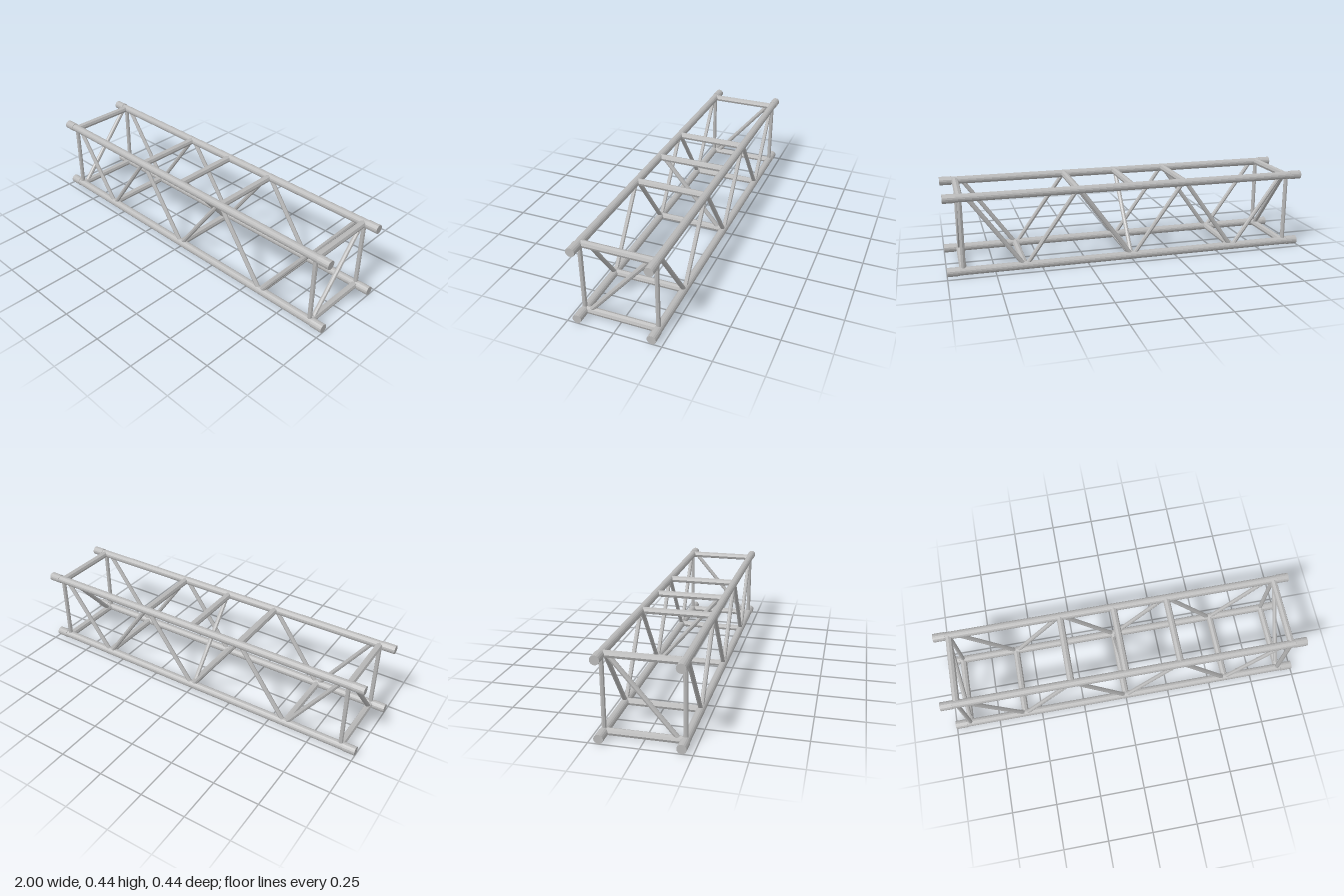
import * as THREE from 'three';

const LOW = 0.024, HIGH = 0.417, SIDE = 0.197; // chord centre lines
const END = 0.915;                             // end frame position

export function createModel() {
  const truss = new THREE.Group();
  truss.name = 'boxTruss';
  const metal = new THREE.MeshStandardMaterial({ color: 0xb9b9b9 });
  metal.name = 'light grey metal';
  metal.flatShading = true;

  // Straight tube between two points
  function bar(name, from, to, radius, sides = 8) {
    const a = new THREE.Vector3(...from), b = new THREE.Vector3(...to);
    const dir = b.clone().sub(a);
    const mesh = new THREE.Mesh(new THREE.CylinderGeometry(radius, radius, dir.length(), sides), metal);
    mesh.position.copy(a).add(b).multiplyScalar(0.5);
    mesh.quaternion.setFromUnitVectors(new THREE.Vector3(0, 1, 0), dir.normalize());
    mesh.name = name;
    truss.add(mesh);
  }

  for (const z of [SIDE, -SIDE]) {
    // Long chords with a thicker sleeve at each end
    for (const y of [LOW, HIGH]) {
      bar('chord', [-0.99, y, z], [0.99, y, z], 0.0215, 16);
      for (const s of [-1, 1]) bar('endSleeve', [s * 0.935, y, z], [s, y, z], 0.024, 16);
    }
    // Uprights and zigzag bracing, mirrored about the middle
    for (const s of [-1, 1]) {
      bar('upright', [s * END, LOW, z], [s * END, HIGH, z], 0.012);
      bar('sideBrace', [s * 0.878, HIGH, z], [s * 0.597, LOW, z], 0.012);
      bar('sideBrace', [s * 0.587, LOW, z], [s * 0.306, HIGH, z], 0.012);
      bar('sideBrace', [s * 0.288, HIGH, z], [s * 0.005, LOW, z], 0.012);
    }
  }

  // Cross bars joining the front and back sides
  for (const x of [-END, -0.3, 0, 0.3, END]) bar('topCrossBar', [x, HIGH, -SIDE], [x, HIGH, SIDE], 0.019);
  for (const x of [-END, -0.595, 0, 0.595, END]) bar('bottomCrossBar', [x, LOW, -SIDE], [x, LOW, SIDE], 0.019);

  // Diagonals across the end frames and, reversed, the middle frame
  for (const [x, s] of [[-END, 1], [0, -1], [END, 1]]) {
    bar('frameDiagonal', [x, HIGH, -s * 0.168], [x, LOW, s * 0.168], 0.0125);
  }
  return truss;
}
